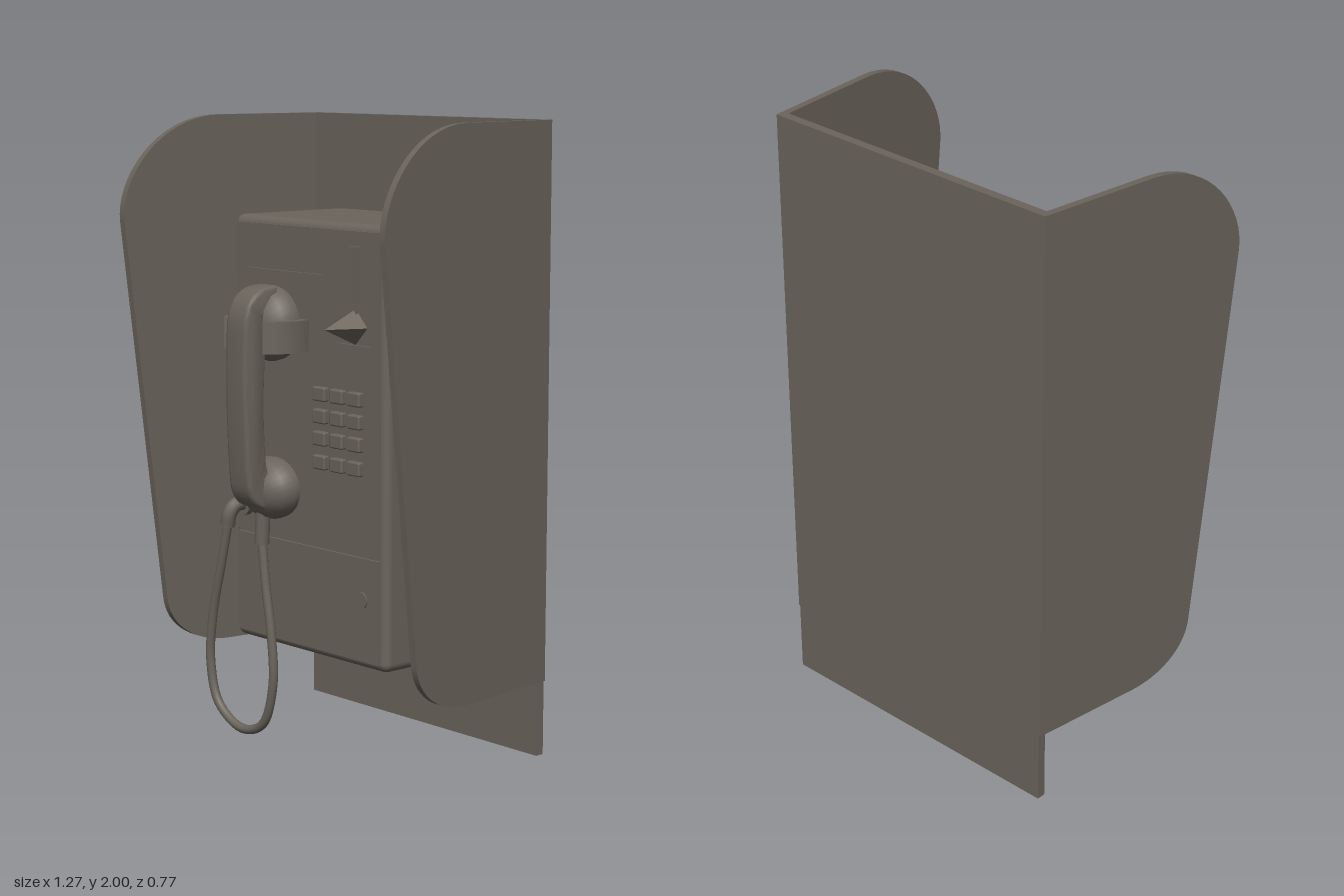
import * as THREE from 'three';
import { toCreasedNormals } from 'three/addons/utils/BufferGeometryUtils.js';
import { RoundedBoxGeometry } from 'three/addons/geometries/RoundedBoxGeometry.js';

export function createModel() {
  const root = new THREE.Group();
  const metal = new THREE.MeshStandardMaterial({ color: 0x6a645b });
  metal.name = 'warm grey metal';

  const add = (name, geo, x = 0, y = 0, z = 0, parent = root) => {
    const m = new THREE.Mesh(geo, metal);
    m.name = name;
    m.position.set(x, y, z);
    parent.add(m);
    return m;
  };
  const group = (name) => {
    const g = new THREE.Group();
    g.name = name;
    root.add(g);
    return g;
  };
  const box = (w, h, d) => new THREE.BoxGeometry(w, h, d);
  const disc = (r, d, r2 = r) => new THREE.CylinderGeometry(r, r2, d, 20).rotateX(Math.PI / 2);
  const smooth = (geo, angle = 0.6) => toCreasedNormals(geo, angle);
  const v3 = (pts) => pts.map((p) => new THREE.Vector3(...p));

  // Back panel
  add('backPanel', box(1.08, 2, 0.03), 0, 1, -0.37);

  // Splayed side wings: rounded outline drawn in depth and height, then sheared outwards
  const outline = new THREE.Shape();
  outline.moveTo(-0.385, 0.24);
  outline.lineTo(0, 0.24);
  outline.bezierCurveTo(0.12, 0.24, 0.23, 0.3, 0.24, 0.41);
  outline.lineTo(0.383, 1.66);
  outline.bezierCurveTo(0.4, 1.8, 0.25, 2, 0.02, 2);
  outline.lineTo(-0.385, 2);
  outline.closePath();
  for (const s of [1, -1]) {
    const geo = new THREE.ExtrudeGeometry(outline, { depth: 0.024, bevelEnabled: false, curveSegments: 16 });
    geo.translate(0, 0, -0.012).rotateY(-Math.PI / 2);
    const p = geo.attributes.position;
    for (let i = 0; i < p.count; i++) {
      p.setX(i, p.getX(i) + s * (0.533 + 0.117 * (p.getZ(i) + 0.385)));
    }
    add(s > 0 ? 'leftWing' : 'rightWing', smooth(geo));
  }

  // Panel bolts
  for (const x of [-0.445, 0.445]) {
    for (const y of [0.325, 1.655]) add('panelBolt', disc(0.024, 0.03), x, y, -0.345);
  }

  // Phone housing and its mount
  const body = group('housing');
  add('housingBox', new RoundedBoxGeometry(0.73, 1.38, 0.462, 4, 0.028), -0.005, 1, -0.104, body);
  add('wallMount', box(0.5, 1.1, 0.03), -0.005, 1, -0.345, body);

  // Front plates with recesses for the sign and the coin slot
  const rect = (Type, x0, x1, y0, y1) => {
    const s = new Type();
    s.moveTo(x0, y0);
    s.lineTo(x1, y0);
    s.lineTo(x1, y1);
    s.lineTo(x0, y1);
    s.closePath();
    return s;
  };
  const face = rect(THREE.Shape, -0.345, 0.335, 0.672, 1.668);
  face.holes.push(
    rect(THREE.Path, -0.305, 0.075, 1.525, 1.655),
    rect(THREE.Path, 0.135, 0.3, 1.32, 1.655)
  );
  const plate = { depth: 0.01, bevelEnabled: false };
  add('facePlate', new THREE.ExtrudeGeometry(face, plate), 0, 0, 0.126, body);
  const door = rect(THREE.Shape, -0.345, 0.335, 0.335, 0.662);
  add('coinBoxDoor', new THREE.ExtrudeGeometry(door, plate), 0, 0, 0.126, body);
  add('doorLock', disc(0.026, 0.006), 0.26, 0.53, 0.138, body);

  // Coin slot and pointed coin return lever
  add('coinSlot', box(0.025, 0.16, 0.012), 0.22, 1.54, 0.132, body);
  add('coinSlotCap', box(0.055, 0.012, 0.012), 0.215, 1.615, 0.132, body);
  add('coinSlotStem', box(0.012, 0.06, 0.01), 0.226, 1.44, 0.131, body);
  const lever = new THREE.ConeGeometry(0.055, 0.125, 4).rotateX(Math.PI / 2);
  add('coinReturnLever', smooth(lever, 0.1), 0.22, 1.375, 0.19, body);

  // Keypad
  const keys = group('keypad');
  for (const x of [0.075, 0.157, 0.237]) {
    for (const y of [0.94, 1.015, 1.085, 1.155]) {
      add('key', new RoundedBoxGeometry(0.058, 0.045, 0.025, 2, 0.006), x, y, 0.143, keys);
    }
  }

  // Handset: arched grip with a domed cup at each end
  const handset = group('handset');
  const grip = new THREE.Shape();
  grip.moveTo(0.19, 1.47);
  grip.bezierCurveTo(0.27, 1.47, 0.298, 1.42, 0.3, 1.34);
  grip.quadraticCurveTo(0.31, 1.1, 0.29, 0.86);
  grip.bezierCurveTo(0.28, 0.8, 0.25, 0.785, 0.19, 0.785);
  grip.lineTo(0.19, 0.86);
  grip.quadraticCurveTo(0.235, 0.87, 0.24, 0.93);
  grip.quadraticCurveTo(0.255, 1.1, 0.24, 1.28);
  grip.quadraticCurveTo(0.235, 1.37, 0.19, 1.38);
  grip.closePath();
  const gripGeo = new THREE.ExtrudeGeometry(grip, {
    depth: 0.072, bevelThickness: 0.016, bevelSize: 0.012, bevelSegments: 4, curveSegments: 10,
  });
  gripGeo.translate(0, 0, -0.036).rotateY(-Math.PI / 2);
  add('handle', smooth(gripGeo, 0.8), -0.135, 0, 0, handset);
  const cup = [[0, 0], [0.1, 0], [0.122, 0.012], [0.125, 0.035], [0.11, 0.07], [0.075, 0.1], [0, 0.115]];
  const cupGeo = smooth(
    new THREE.LatheGeometry(cup.map((c) => new THREE.Vector2(...c)), 32).rotateX(Math.PI / 2), 0.7);
  add('earpiece', cupGeo, -0.135, 1.36, 0.14, handset).scale.y = 0.96;
  add('mouthpiece', cupGeo, -0.135, 0.835, 0.14, handset).scale.set(0.99, 0.8, 1);

  // Cradle horns curving in around the earpiece
  const cradle = group('cradle');
  for (const s of [1, -1]) {
    const horn = new THREE.Shape();
    horn.moveTo(s * 0.09, 0.13);
    horn.lineTo(s * 0.14, 0.13);
    horn.quadraticCurveTo(s * 0.165, 0.23, s * 0.095, 0.285);
    horn.lineTo(s * 0.085, 0.275);
    horn.quadraticCurveTo(s * 0.14, 0.21, s * 0.09, 0.13);
    const geo = new THREE.ExtrudeGeometry(horn, { depth: 0.1, bevelEnabled: false, curveSegments: 10 });
    add('cradleHorn', smooth(geo.rotateX(Math.PI / 2)), -0.13, 1.38, 0, cradle);
  }
  add('cradleBase', box(0.28, 0.1, 0.02), -0.13, 1.33, 0.14, cradle);

  // Cord with its socket and end sleeves
  const cord = group('cord');
  const tube = (pts, r, n) =>
    new THREE.TubeGeometry(new THREE.CatmullRomCurve3(v3(pts)), n, r, 12);
  add('cordSocket', disc(0.04, 0.025), -0.3, 0.76, 0.145, cord);
  add('socketElbow', tube([[-0.3, 0.76, 0.14], [-0.3, 0.757, 0.185], [-0.306, 0.73, 0.203], [-0.315, 0.69, 0.205]], 0.024, 16), 0, 0, 0, cord);
  add('handsetSleeve', tube([[-0.138, 0.79, 0.2], [-0.147, 0.655, 0.2]], 0.024, 4), 0, 0, 0, cord);
  add('cordLoop', tube([
    [-0.31, 0.715, 0.203], [-0.345, 0.57, 0.205], [-0.395, 0.38, 0.205], [-0.412, 0.22, 0.202],
    [-0.375, 0.09, 0.2], [-0.26, 0.025, 0.198], [-0.15, 0.06, 0.198], [-0.095, 0.2, 0.2],
    [-0.1, 0.35, 0.2], [-0.128, 0.52, 0.2], [-0.147, 0.67, 0.2],
  ], 0.015, 80), 0, 0, 0, cord);

  return root;
}
